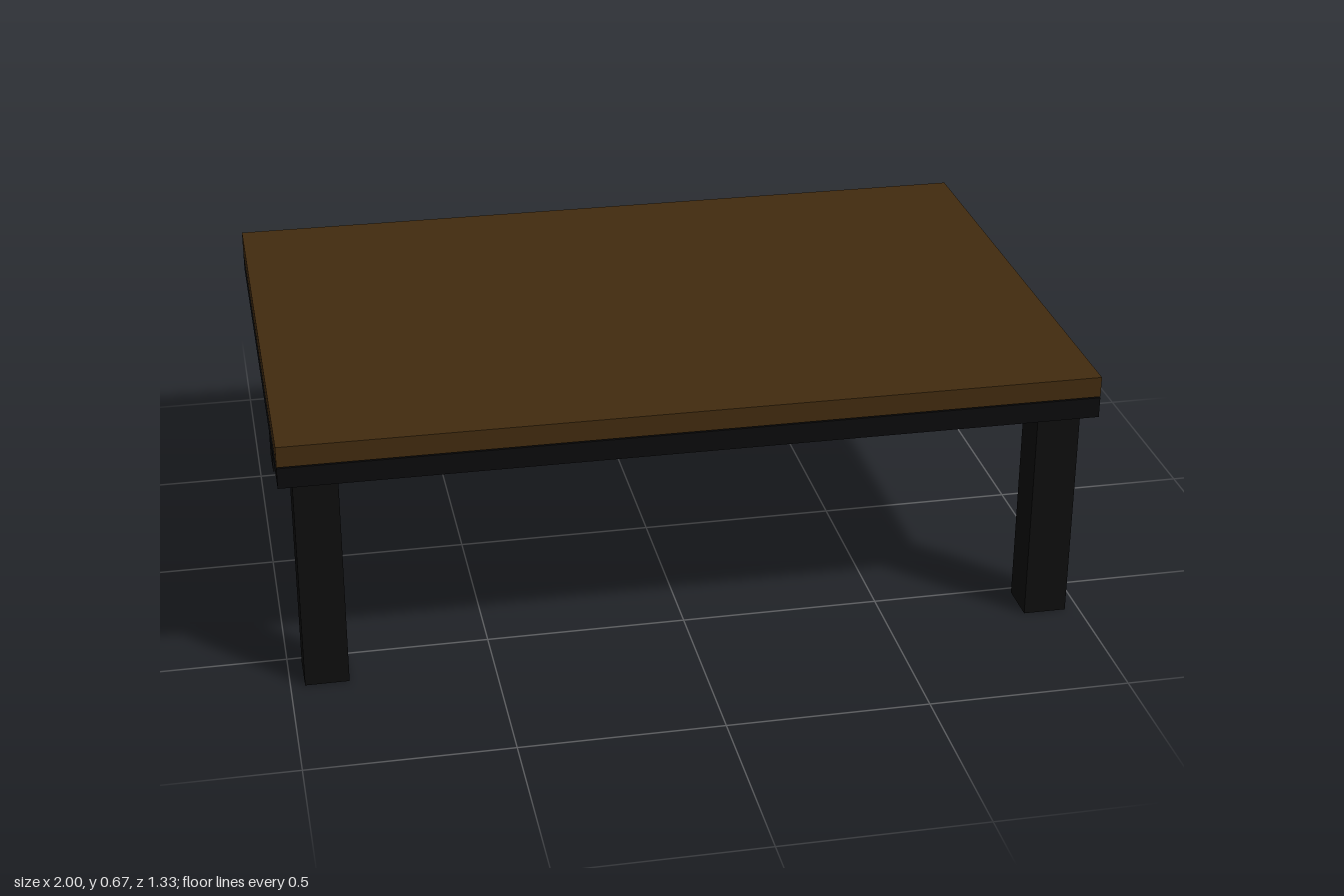
import * as THREE from 'three';

export function createModel() {
  const model = new THREE.Group();
  model.name = 'coffeeTable';

  const wood = new THREE.MeshStandardMaterial({ color: 0x422b0f });
  wood.name = 'dark wood';
  const frameBlack = new THREE.MeshStandardMaterial({ color: 0x0b0b0c });
  frameBlack.name = 'frame black';
  const legBlack = new THREE.MeshStandardMaterial({ color: 0x0e0e0e });
  legBlack.name = 'leg black';

  // Box standing on height y0 and reaching y1
  function slab(name, material, width, depth, y0, y1, x = 0, z = 0) {
    const mesh = new THREE.Mesh(new THREE.BoxGeometry(width, y1 - y0, depth), material);
    mesh.name = name;
    mesh.position.set(x, (y0 + y1) / 2, z);
    model.add(mesh);
  }

  // Wooden top with a hairline gap above the solid black frame
  slab('tableTop', wood, 2, 1.333, 0.615, 0.667);
  slab('frame', frameBlack, 2, 1.333, 0.56, 0.612);

  // Four square legs, inset from the corners
  for (const [side, x] of [['Left', 0.911], ['Right', -0.911]]) {
    for (const [end, z] of [['front', 0.577], ['back', -0.577]]) {
      slab(`${end}${side}Leg`, legBlack, 0.108, 0.108, 0, 0.56, x, z);
    }
  }

  return model;
}
